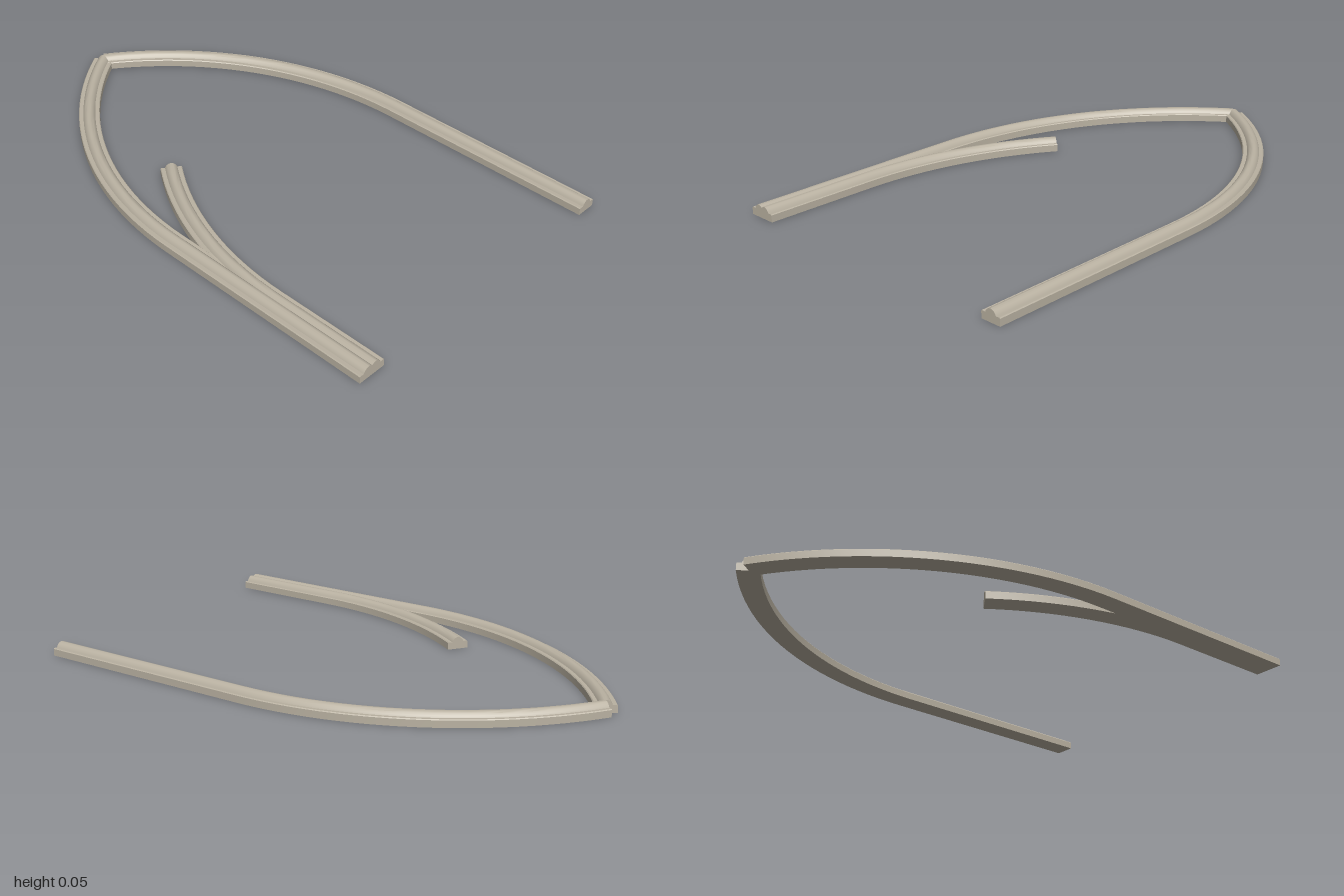
import * as THREE from 'three';
import { toCreasedNormals } from 'three/addons/utils/BufferGeometryUtils.js';

// Moulding cross-section [offset outward, height], counter-clockwise
const half = [[0.04, 0], [0.04, 0.026], [0.037, 0.029], [0.023, 0.028], [0.02, 0.034], [0.014, 0.041], [0.007, 0.0455]];
const profile = [...half, [0, 0.0465], ...half.slice().reverse().map(([s, y]) => [-s, y])];

// Sweeps the moulding up a straight leg, then round an arc bending towards the middle
function ribGeometry(side, x, springZ, radius, sweep, steps) {
  const n = profile.length;
  const pos = [];
  const index = [];
  const addRing = (cx, cz, nx, nz) => {
    for (const [s, y] of profile) pos.push(side * (cx + s * nx), y, cz + s * nz);
  };
  const tri = (a, b, c) => (side > 0 ? index.push(a, b, c) : index.push(a, c, b));

  addRing(x, 1, 1, 0);
  for (let i = 0; i <= steps; i++) {
    const t = (sweep * i) / steps;
    const c = Math.cos(t), s = Math.sin(t);
    addRing(x - radius + radius * c, springZ - radius * s, c, -s);
  }
  const rings = steps + 2;
  for (let i = 0; i < rings - 1; i++) {
    for (let j = 0; j < n; j++) {
      const k = (j + 1) % n;
      const a = i * n + j, b = i * n + k, c = a + n, d = b + n;
      tri(a, d, b);
      tri(a, c, d);
    }
  }
  // End caps, fanned from the middle of the underside
  const last = (rings - 1) * n;
  const endX = x - radius + radius * Math.cos(sweep);
  const endZ = springZ - radius * Math.sin(sweep);
  const front = rings * n, back = front + 1;
  pos.push(side * x, 0, 1, side * endX, 0, endZ);
  for (let j = 0; j < n - 1; j++) {
    tri(front, j, j + 1);
    tri(back, last + j + 1, last + j);
  }
  const geo = new THREE.BufferGeometry();
  geo.setAttribute('position', new THREE.Float32BufferAttribute(pos, 3));
  geo.setIndex(index);
  return toCreasedNormals(geo, 0.5);
}

export function createModel() {
  const group = new THREE.Group();
  group.name = 'pointedArchTracery';
  const stone = new THREE.MeshStandardMaterial({ color: 0xbab2a2 });
  stone.name = 'stone';

  const addRib = (name, ...args) => {
    const mesh = new THREE.Mesh(ribGeometry(...args), stone);
    mesh.name = name;
    group.add(mesh);
  };

  // Two mirrored halves of the pointed arch
  const archSweep = Math.acos(1 - 0.58 / 1.3);
  addRib('leftArchRib', 1, 0.582, 0.116, 1.3, archSweep, 24);
  addRib('rightArchRib', -1, 0.582, 0.116, 1.3, archSweep, 24);

  // Inner rib branching off the right leg
  addRib('branchRib', -1, 0.55, 0.56, 1.34, Math.acos(1 - 0.242 / 1.34), 16);
  return group;
}
